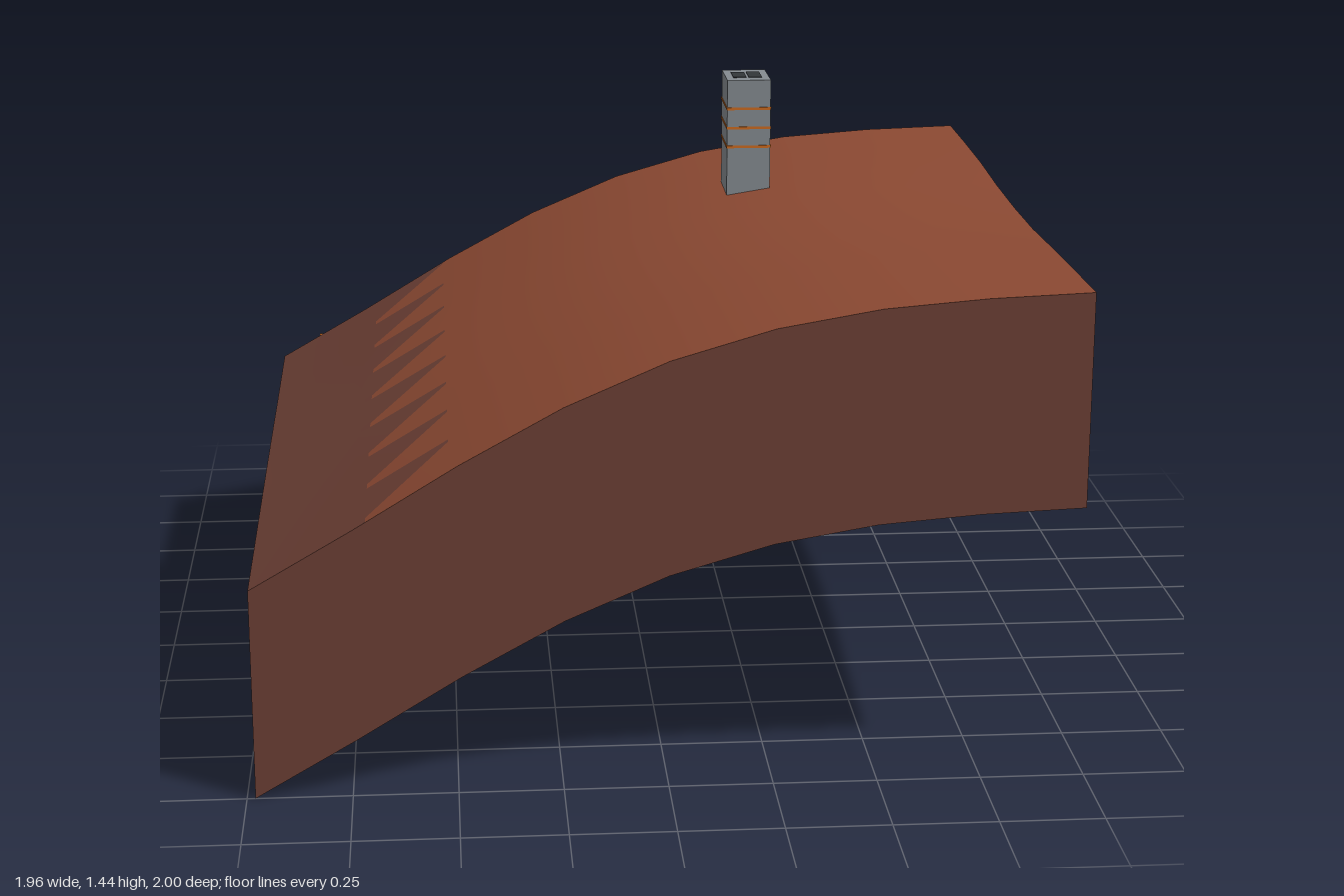
import * as THREE from 'three';

const STEP = 0.245, X0 = -0.98, Z0 = -0.96, DROP = 0.522;
// Height profile across x, and the gentle sag along z
const PROFILE = [0.522, 0.665, 0.815, 0.95, 1.056, 1.128, 1.17, 1.19, 1.2];
const SAG = [-0.013, -0.013, -0.016, -0.026, -0.03, -0.028, -0.017, -0.008, 0];
const gridX = PROFILE.map((_, i) => X0 + STEP * i);
const gridZ = SAG.map((_, i) => Z0 + STEP * i);

function sample(table, t) {
  const i = Math.min(Math.max(Math.floor(t), 0), table.length - 2);
  return THREE.MathUtils.lerp(table[i], table[i + 1], t - i);
}

function height(x, z) {
  return sample(PROFILE, (x - X0) / STEP) + sample(SAG, (z - Z0) / STEP) * (x + 0.7) / 1.68;
}

const onTop = (x, z) => new THREE.Vector3(x, height(x, z), z);

// Surface through rows of points
function sheet(rows) {
  const cols = rows[0].length, index = [];
  for (let r = 0; r < rows.length - 1; r++) {
    for (let c = 0; c < cols - 1; c++) {
      const a = r * cols + c, b = a + 1, d = a + cols, e = d + 1;
      index.push(a, d, b, b, d, e);
    }
  }
  const g = new THREE.BufferGeometry().setFromPoints(rows.flat());
  g.setIndex(index);
  g.computeVertexNormals();
  return g;
}

// Top surface with normals taken from the slope, so the two colours shade as one
function topSheet(rows) {
  const g = sheet(rows), p = g.attributes.position, n = g.attributes.normal;
  const e = 0.12, v = new THREE.Vector3();
  for (let i = 0; i < p.count; i++) {
    const x = p.getX(i), z = p.getZ(i);
    v.set(height(x - e, z) - height(x + e, z), 2 * e, height(x, z - e) - height(x, z + e)).normalize();
    n.setXYZ(i, v.x, v.y, v.z);
  }
  return g;
}

export function createModel() {
  const material = (name, color, side = THREE.FrontSide) => {
    const m = new THREE.MeshStandardMaterial({ color, side });
    m.name = name;
    return m;
  };
  const rust = material('rust brown', 0x8d4a33, THREE.DoubleSide);
  const brown = material('dark brown', 0x6d4035, THREE.DoubleSide);
  const grey = material('grey', 0x858b90);
  const orange = material('orange', 0xcc6a1e);
  const dark = material('charcoal', 0x33373a);

  const model = new THREE.Group();
  const add = (name, geometry, mat, parent = model) => {
    const mesh = new THREE.Mesh(geometry, mat);
    mesh.name = name;
    parent.add(mesh);
    return mesh;
  };
  const box = (name, size, pos, mat, parent) =>
    add(name, new THREE.BoxGeometry(...size), mat, parent).position.set(...pos);

  // Sloping ground, split along a saw-toothed colour edge
  const edge = [];
  for (const z of gridZ.slice(0, -1)) {
    edge.push([-0.51, z], [-0.51, z + 0.018], [-0.705, z + 0.213], [-0.705, z + STEP]);
  }
  add('lowerGround', topSheet(edge.map(([x, z]) =>
    [...gridX.slice(0, 2), x].map(c => onTop(c, z)))), brown);
  add('upperGround', topSheet(edge.map(([x, z]) =>
    [x, ...gridX.slice(2)].map(c => onTop(c, z)))), rust);

  // Skirt walls hanging from the four edges, open below
  const backX = [...gridX].reverse(), backZ = [...gridZ].reverse();
  const walls = {
    frontSkirt: gridX.map(x => onTop(x, gridZ[8])),
    leftSkirt: backZ.map(z => onTop(gridX[8], z)),
    backSkirt: backX.map(x => onTop(x, Z0)),
    rightSkirt: gridZ.map(z => onTop(X0, z)),
  };
  for (const [name, top] of Object.entries(walls)) {
    const bottom = top.map(p => new THREE.Vector3(p.x, p.y - DROP, p.z));
    add(name, sheet([top, bottom]), brown);
  }

  // Row of short dashes just beneath the low edge
  for (let i = 0; i < 6; i++) {
    box('dash', [0.012, 0.006, 0.088], [-0.87, 0.577, 0.674 - 0.326 * i], orange);
  }

  // Tower with thin bands and a dark roof opening
  const tower = new THREE.Group();
  tower.name = 'tower';
  tower.position.set(0.325, 0, -0.467);
  model.add(tower);
  box('towerBody', [0.118, 0.34, 0.155], [0, 1.268, 0], grey, tower);
  for (const y of [1.255, 1.307, 1.36]) {
    box('towerBand', [0.121, 0.007, 0.158], [0, y, 0], orange, tower);
  }
  for (const s of [-1, 1]) {
    box('roofOpening', [0.036, 0.003, 0.078], [s * 0.021, 1.438, 0], dark, tower);
  }
  return model;
}
